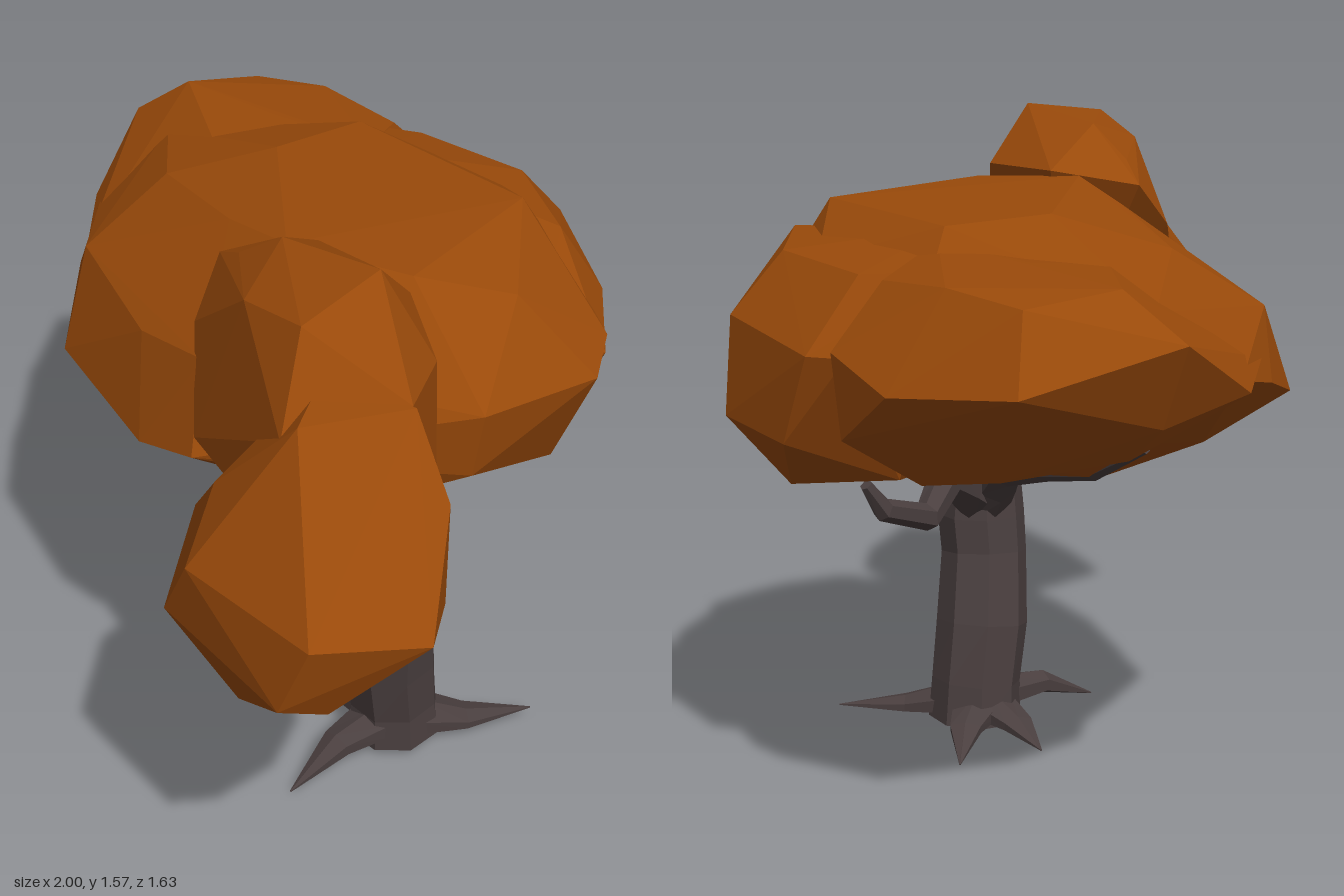
import * as THREE from 'three';
import { ConvexGeometry } from 'three/addons/geometries/ConvexGeometry.js';

const vec = (p) => new THREE.Vector3(p[0], p[1], p[2]);

// Sweeps a polygon along stations [x, y, z, half width, half height].
function sweep(stations, sides, ref) {
  const pts = stations.map(vec);
  const pos = [], index = [];
  const last = pts.length - 1;
  pts.forEach((p, i) => {
    const t = pts[Math.min(i + 1, last)].clone().sub(pts[Math.max(i - 1, 0)]).normalize();
    const u = ref.clone().cross(t).normalize();
    const v = t.clone().cross(u);
    const [, , , rw, rh = rw] = stations[i];
    for (let k = 0; k < sides; k++) {
      const a = ((k + 0.5) / sides) * Math.PI * 2;
      const q = p.clone().addScaledVector(u, Math.cos(a) * rw).addScaledVector(v, Math.sin(a) * rh);
      pos.push(q.x, q.y, q.z);
    }
  });
  for (let i = 0; i < last; i++) {
    for (let k = 0; k < sides; k++) {
      const a = i * sides + k, b = i * sides + ((k + 1) % sides);
      index.push(a, b, b + sides, a, b + sides, a + sides);
    }
  }
  // End caps
  for (let k = 1; k < sides - 1; k++) {
    const e = last * sides;
    index.push(0, k + 1, k, e, e + k, e + k + 1);
  }
  const g = new THREE.BufferGeometry();
  g.setAttribute('position', new THREE.Float32BufferAttribute(pos, 3));
  g.setIndex(index);
  const flat = g.toNonIndexed();
  flat.computeVertexNormals();
  return flat;
}

export function createModel() {
  const tree = new THREE.Group();
  tree.name = 'tree';
  const bark = new THREE.MeshStandardMaterial({ color: 0x4a3f3f, flatShading: true });
  bark.name = 'bark';
  const leaves = new THREE.MeshStandardMaterial({ color: 0x9a4a0a, flatShading: true });
  leaves.name = 'autumnLeaves';
  const up = new THREE.Vector3(0, 1, 0), front = new THREE.Vector3(0, 0, 1);

  const add = (name, geometry, material) => {
    const mesh = new THREE.Mesh(geometry, material);
    mesh.name = name;
    tree.add(mesh);
  };

  // Leaning trunk
  add('trunk', sweep([
    [0.255, 0.02, -0.075, 0.12], [0.255, 0.12, -0.07, 0.115], [0.265, 0.27, -0.045, 0.118],
    [0.295, 0.45, -0.02, 0.11], [0.305, 0.55, -0.022, 0.112], [0.305, 0.7, -0.018, 0.095],
    [0.31, 0.82, -0.012, 0.07], [0.31, 0.92, 0.01, 0.05],
  ], 8, front), bark);

  // Branches reaching under the crown
  const branches = {
    frontBranch: [[0.3, 0.82, -0.03, 0.055], [0.33, 0.89, 0.04, 0.045], [0.43, 0.89, 0.15, 0.032],
      [0.51, 0.82, 0.2, 0.028], [0.6, 0.79, 0.31, 0.016]],
    backBranch: [[0.28, 0.6, -0.04, 0.07], [0.22, 0.66, -0.12, 0.055, 0.075], [0.14, 0.7, -0.22, 0.045],
      [0.07, 0.635, -0.31, 0.035], [0.01, 0.69, -0.46, 0.028], [0, 0.76, -0.51, 0.015]],
    rightBranch: [[0.28, 0.56, -0.03, 0.06], [0.2, 0.65, -0.04, 0.055], [0.12, 0.71, -0.06, 0.045],
      [-0.1, 0.76, -0.08, 0.03], [-0.33, 0.81, -0.09, 0.024], [-0.55, 0.91, -0.1, 0.012]],
  };
  for (const [name, path] of Object.entries(branches)) add(name, sweep(path, 6, up), bark);

  // Flat pointed roots
  const roots = {
    frontRoot: [[0.26, 0.07, 0, 0.07, 0.04], [0.26, 0.07, 0.13, 0.045, 0.03], [0.26, 0.005, 0.29, 0.002]],
    leftRoot: [[0.3, 0.06, -0.11, 0.08, 0.04], [0.38, 0.04, -0.21, 0.05, 0.02], [0.47, 0.035, -0.36, 0.002]],
    backRoot: [[0.2, 0.06, -0.1, 0.07, 0.04], [0.12, 0.045, -0.18, 0.045, 0.02], [0.01, 0.005, -0.26, 0.002]],
    rightRoot: [[0.2, 0.06, -0.06, 0.07, 0.04], [0.08, 0.045, -0.05, 0.045, 0.02], [-0.05, 0.02, -0.06, 0.002]],
  };
  for (const [name, path] of Object.entries(roots)) add(name, sweep(path, 6, up), bark);

  // Faceted clumps of the crown, each the hull of a few corner points
  const clumps = {
    middleClump: [
      [-0.5, 0.98, 0.34], [-0.05, 0.99, 0.47], [0.15, 1.05, 0.48], [0.08, 1.43, 0.13], [-0.15, 1.39, 0.1],
      [0.35, 1.41, 0], [0.6, 1.17, 0.02], [0.62, 1.13, -0.33], [0.55, 1.17, -0.44], [0.48, 1.34, -0.2],
      [0.1, 1.4, -0.44], [-0.32, 1.41, -0.2], [-0.3, 1.4, -0.46], [-0.5, 1.34, 0], [-0.7, 1.06, 0.13],
      [-0.8, 1.27, -0.25], [-0.6, 0.92, 0.02], [-0.33, 0.79, -0.08], [0.2, 0.75, -0.38], [0.1, 0.75, -0.22],
      [0.2, 0.88, 0.22], [0.45, 0.93, 0.1], [0.5, 0.86, -0.33], [-0.15, 1.2, 0.37], [0.57, 1.0, 0.02],
      [-0.87, 1.12, -0.08], [-0.55, 1.2, 0.22], [0.1, 1.25, 0.4], [0, 1.3, -0.62], [-0.5, 1.2, -0.65],
      [0.3, 1.2, -0.58], [0, 0.95, -0.65], [-0.45, 0.95, -0.6], [0.25, 1.4, -0.46],
    ],
    rightClump: [
      [-1, 1.24, -0.31], [-0.87, 1.34, -0.38], [-0.9, 1.1, -0.08], [-0.9, 1.15, -0.64], [-0.62, 1.12, -0.78],
      [-0.42, 1.18, -0.8], [-0.62, 1.33, -0.64], [-0.55, 1.33, -0.2], [-0.75, 0.95, -0.28], [-0.6, 0.9, -0.5],
      [-0.4, 0.86, -0.58], [-0.9, 1.05, -0.3], [-0.42, 0.99, -0.78], [-0.37, 1.31, -0.65], [-0.7, 1.12, 0.1],
      [-0.37, 1.18, -0.74], [-0.25, 1.36, -0.45], [-0.2, 0.9, -0.5], [-0.55, 1.35, -0.4], [-0.82, 1.31, -0.58],
    ],
    backClump: [
      [-0.3, 1.15, -0.8], [0.08, 1.18, -0.8], [0.08, 0.95, -0.82], [-0.2, 0.94, -0.81], [0, 0.79, -0.7],
      [0.15, 0.73, -0.42], [0.38, 1.15, -0.62], [0.32, 1.33, -0.52], [0.05, 1.32, -0.68], [-0.28, 1.31, -0.66],
      [0.42, 0.95, -0.55], [0.55, 1.12, -0.44], [-0.3, 0.85, -0.58], [-0.2, 1.38, -0.4], [-0.45, 1.33, -0.52],
      [-0.37, 1.15, -0.74], [0.5, 0.98, -0.25], [0.5, 1.2, -0.25], [0.1, 0.75, -0.25],
    ],
    ridgeClump: [
      [0.2, 1.54, 0.25], [0.48, 1.57, 0.23], [0.28, 1.49, 0.43], [0.5, 1.54, 0.47], [0.08, 1.46, 0.27],
      [-0.02, 1.41, 0.24], [0.03, 1.3, 0.36], [0.13, 1.44, 0.08], [0.42, 1.43, 0.08], [0.62, 1.4, 0.2],
      [0.75, 1.44, 0.4], [0.63, 1.15, 0.2], [0.15, 1.1, 0.47], [0.3, 1.18, 0.5], [0.58, 1.36, 0.6],
      [0.27, 0.95, 0.4], [0.3, 0.92, 0.22], [0.5, 0.95, 0.22], [0.6, 1.1, 0.6],
    ],
    frontClump: [
      [0.76, 1.44, 0.4], [0.62, 1.41, 0.59], [0.88, 1.28, 0.42], [1, 1.08, 0.58], [0.87, 1.1, 0.79],
      [0.5, 1.1, 0.79], [0.4, 0.93, 0.77], [0.8, 0.92, 0.81], [0.83, 0.87, 0.7], [0.63, 0.77, 0.38],
      [0.6, 0.79, 0.74], [0.42, 0.83, 0.42], [0.27, 1.03, 0.57], [0.85, 1.0, 0.39], [0.42, 1.2, 0.64],
      [0.64, 1.1, 0.22], [0.4, 1.25, 0.4], [0.45, 0.95, 0.25], [0.55, 1.45, 0.45],
    ],
  };
  for (const [name, corners] of Object.entries(clumps)) {
    add(name, new ConvexGeometry(corners.map(vec)), leaves);
  }
  return tree;
}
